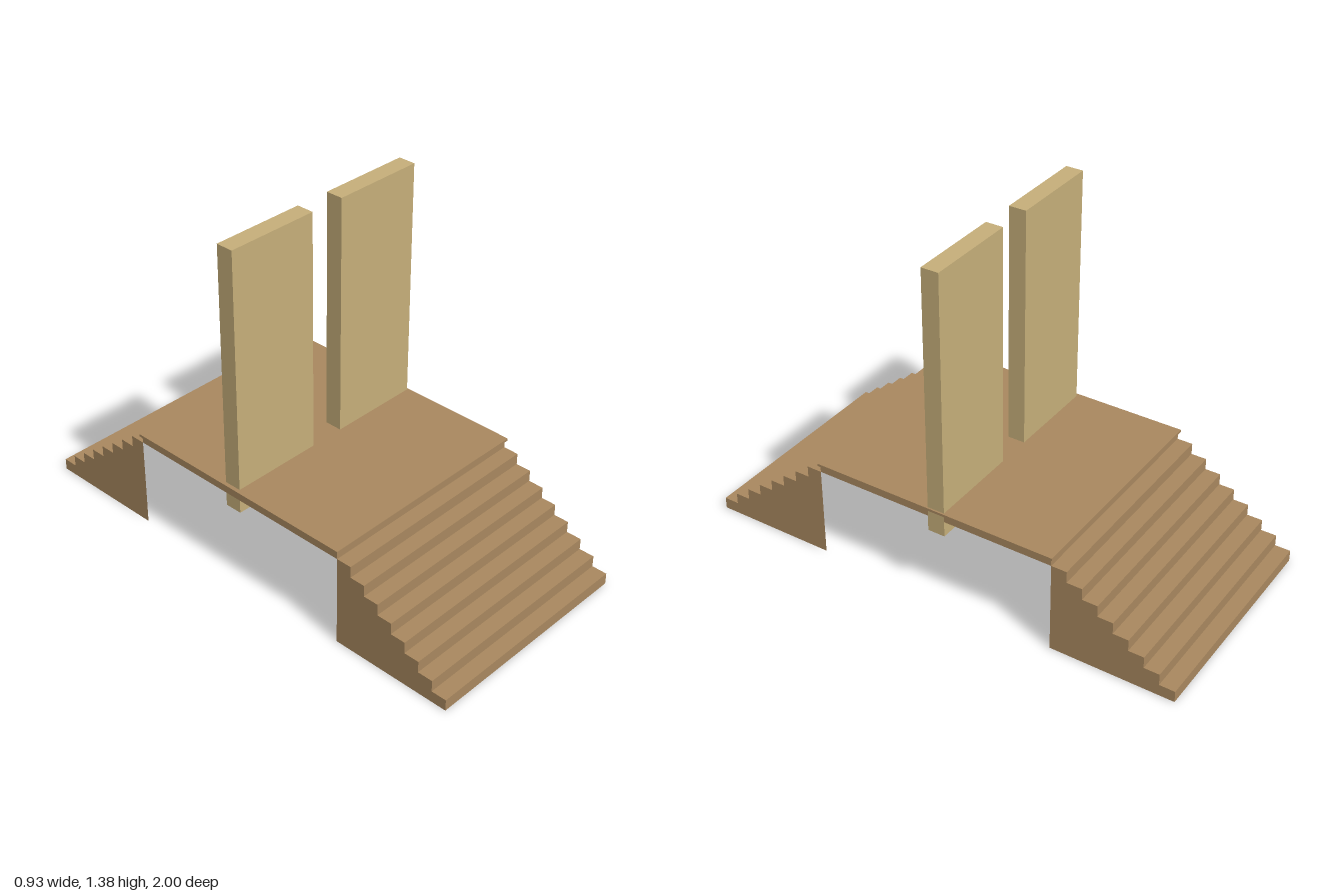
import * as THREE from 'three';

const brown = new THREE.MeshStandardMaterial({ color: 0xa9885f, side: THREE.DoubleSide });
brown.name = 'brown wood';
const tan = new THREE.MeshStandardMaterial({ color: 0xc6af7a });
tan.name = 'tan panel';

const STEPS = 8, HALF = 0.456, INNER = 0.5, OUTER = 1, TOP = 0.37;
const RISE = TOP / STEPS, RUN = (OUTER - INNER) / STEPS;

function add(parent, name, geometry, material, x = 0, y = 0, z = 0) {
  const mesh = new THREE.Mesh(geometry, material);
  mesh.name = name;
  mesh.position.set(x, y, z);
  parent.add(mesh);
  return mesh;
}

// Hollow staircase descending towards +z, open underneath and at the inner end
function makeStairs(name) {
  const stairs = new THREE.Group();
  stairs.name = name;
  const outline = new THREE.Shape();
  outline.moveTo(-INNER, 0);
  outline.lineTo(-OUTER, 0);
  for (let i = 0; i < STEPS; i++) {
    const z = OUTER - i * RUN, y = (i + 1) * RISE;
    outline.lineTo(-z, y);
    outline.lineTo(-(z - RUN), y);
    add(stairs, 'riser', new THREE.PlaneGeometry(HALF * 2, RISE), brown, 0, y - RISE / 2, z);
    const tread = new THREE.PlaneGeometry(HALF * 2, RUN).rotateX(-Math.PI / 2);
    add(stairs, 'tread', tread, brown, 0, y, z - RUN / 2);
  }
  outline.closePath();
  // Stepped side walls
  for (const x of [-HALF, HALF]) {
    const wall = new THREE.ShapeGeometry(outline).rotateY(Math.PI / 2);
    add(stairs, 'stairSide', wall, brown, x);
  }
  return stairs;
}

export function createModel() {
  const model = new THREE.Group();
  model.name = 'steppedPlatform';

  // Two matching flights
  const front = makeStairs('frontStairs');
  const back = makeStairs('backStairs');
  back.rotation.y = Math.PI;
  model.add(front, back);

  // Thin deck with a shallow rim below it
  add(model, 'deck', new THREE.BoxGeometry(0.928, 0.01, 1.014), brown, 0, 0.404, 0);
  for (const s of [-1, 1]) {
    const side = new THREE.PlaneGeometry(INNER * 2, 0.03).rotateY(s * Math.PI / 2);
    add(model, 'sideRim', side, brown, s * HALF, 0.385, 0);
    add(model, 'endRim', new THREE.PlaneGeometry(HALF * 2, 0.03), brown, 0, 0.385, s * INNER);
  }

  // Upright panels passing through the deck
  add(model, 'rightPanel', new THREE.BoxGeometry(0.38, 1.07, 0.07), tan, -0.258, 0.842, -0.02);
  add(model, 'leftPanel', new THREE.BoxGeometry(0.381, 1.07, 0.07), tan, 0.2665, 0.842, -0.02);

  return model;
}
